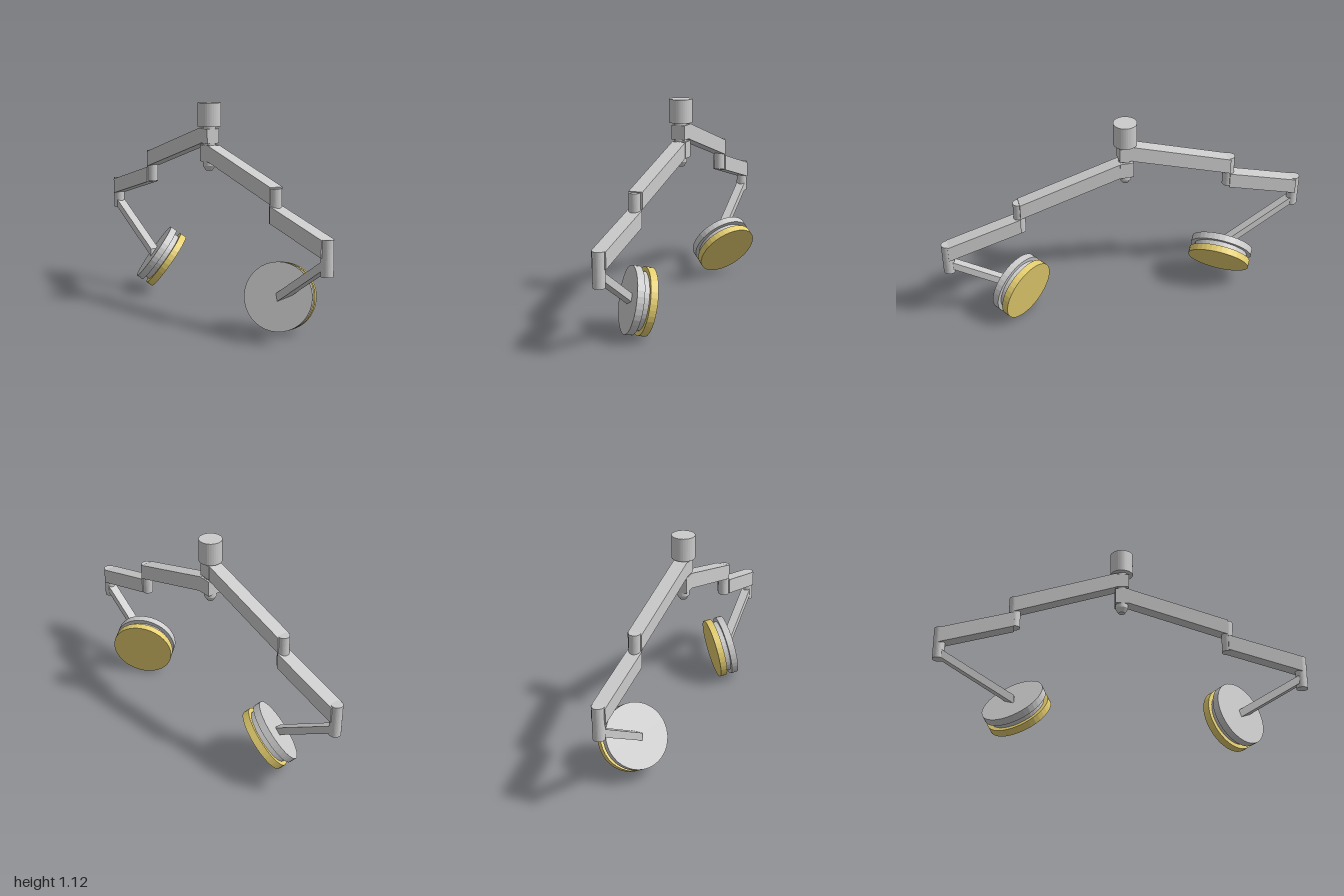
import * as THREE from 'three';

const AXIS_X = -0.035; // common x of the stem and both arms

export function createModel() {
  const model = new THREE.Group();
  const grey = new THREE.MeshStandardMaterial({ color: 0xcccccc, flatShading: true });
  const tan = new THREE.MeshStandardMaterial({ color: 0xe6cf70, flatShading: true });

  function add(parent, name, geometry, material = grey) {
    const mesh = new THREE.Mesh(geometry, material);
    mesh.name = name;
    parent.add(mesh);
    return mesh;
  }

  // Upright cylinder between two heights
  function post(parent, name, radius, y0, y1, z) {
    const mesh = add(parent, name, new THREE.CylinderGeometry(radius, radius, y1 - y0, 32));
    mesh.position.set(AXIS_X, (y0 + y1) / 2, z);
  }

  // Sloping beam with vertical ends: a box sheared along z
  function beam(parent, name, width, height, [z0, y0], [z1, y1], x = AXIS_X) {
    const geometry = new THREE.BoxGeometry(width, height, Math.abs(z1 - z0));
    geometry.translate(x, 0, (z0 + z1) / 2);
    const p = geometry.attributes.position;
    for (let i = 0; i < p.count; i++) {
      const t = (p.getZ(i) - z0) / (z1 - z0);
      p.setY(i, p.getY(i) + y0 + (y1 - y0) * t);
    }
    geometry.computeVertexNormals();
    add(parent, name, geometry);
  }

  // Lamp head: grey back plate, narrower spacer, tan light panel, along the back normal
  function lampHead(parent, backCentre, backNormal) {
    const head = new THREE.Group();
    head.name = 'lampHead';
    const layers = [
      ['backPlate', 0.1735, 0, 0.038, grey],
      ['spacer', 0.15, 0.036, 0.07, grey],
      ['lightPanel', 0.1735, 0.068, 0.106, tan],
    ];
    for (const [name, radius, d0, d1, material] of layers) {
      const disc = add(head, name, new THREE.CylinderGeometry(radius, radius, d1 - d0, 36), material);
      disc.position.y = -(d0 + d1) / 2;
    }
    head.position.set(...backCentre);
    head.quaternion.setFromUnitVectors(
      new THREE.Vector3(0, 1, 0), new THREE.Vector3(...backNormal).normalize());
    parent.add(head);
  }

  // Ceiling mount and central stem
  post(model, 'ceilingMount', 0.062, 1.0, 1.125, 0);
  post(model, 'stem', 0.034, 0.79, 1.0, 0);
  const cap = add(model, 'stemCap', new THREE.CylinderGeometry(0.034, 0.018, 0.026, 32));
  cap.position.set(AXIS_X, 0.777, 0);

  // Two jointed arms, each with its lamp
  const arms = [
    {
      name: 'frontArm', hub: [0.812, 0.9], hubX: -0.031,
      inner: [[0.03, 0.858], [0.575, 0.69]], outer: [[0.575, 0.598], [0.968, 0.486]],
      elbow: [0.551, 0.728], wrist: [0.353, 0.53],
      bar: [[0.968, 0.41], [0.612, 0.186]],
      lamp: [[-0.055, 0.195, 0.626], [-0.77, 0.19, 0.61]],
    },
    {
      name: 'backArm', hub: [0.91, 0.987], hubX: AXIS_X,
      inner: [[-0.03, 0.95], [-0.578, 0.781]], outer: [[-0.578, 0.69], [-0.968, 0.583]],
      elbow: [0.653, 0.828], wrist: [0.455, 0.632],
      bar: [[-0.968, 0.49], [-0.56, 0.231]],
      lamp: [[-0.034, 0.238, -0.571], [-0.68, 0.58, -0.44]],
    },
  ];
  for (const a of arms) {
    const arm = new THREE.Group();
    arm.name = a.name;
    const hub = add(arm, 'hub', new THREE.BoxGeometry(0.076, a.hub[1] - a.hub[0], 0.074));
    hub.position.set(a.hubX, (a.hub[0] + a.hub[1]) / 2, 0);
    beam(arm, 'innerBeam', 0.075, 0.086, ...a.inner, a.hubX);
    beam(arm, 'outerBeam', 0.075, 0.086, ...a.outer);
    post(arm, 'elbowJoint', 0.031, ...a.elbow, a.inner[1][0]);
    post(arm, 'wristJoint', 0.031, ...a.wrist, a.outer[1][0]);
    beam(arm, 'lampBar', 0.05, 0.046, ...a.bar);
    lampHead(arm, ...a.lamp);
    model.add(arm);
  }
  return model;
}
